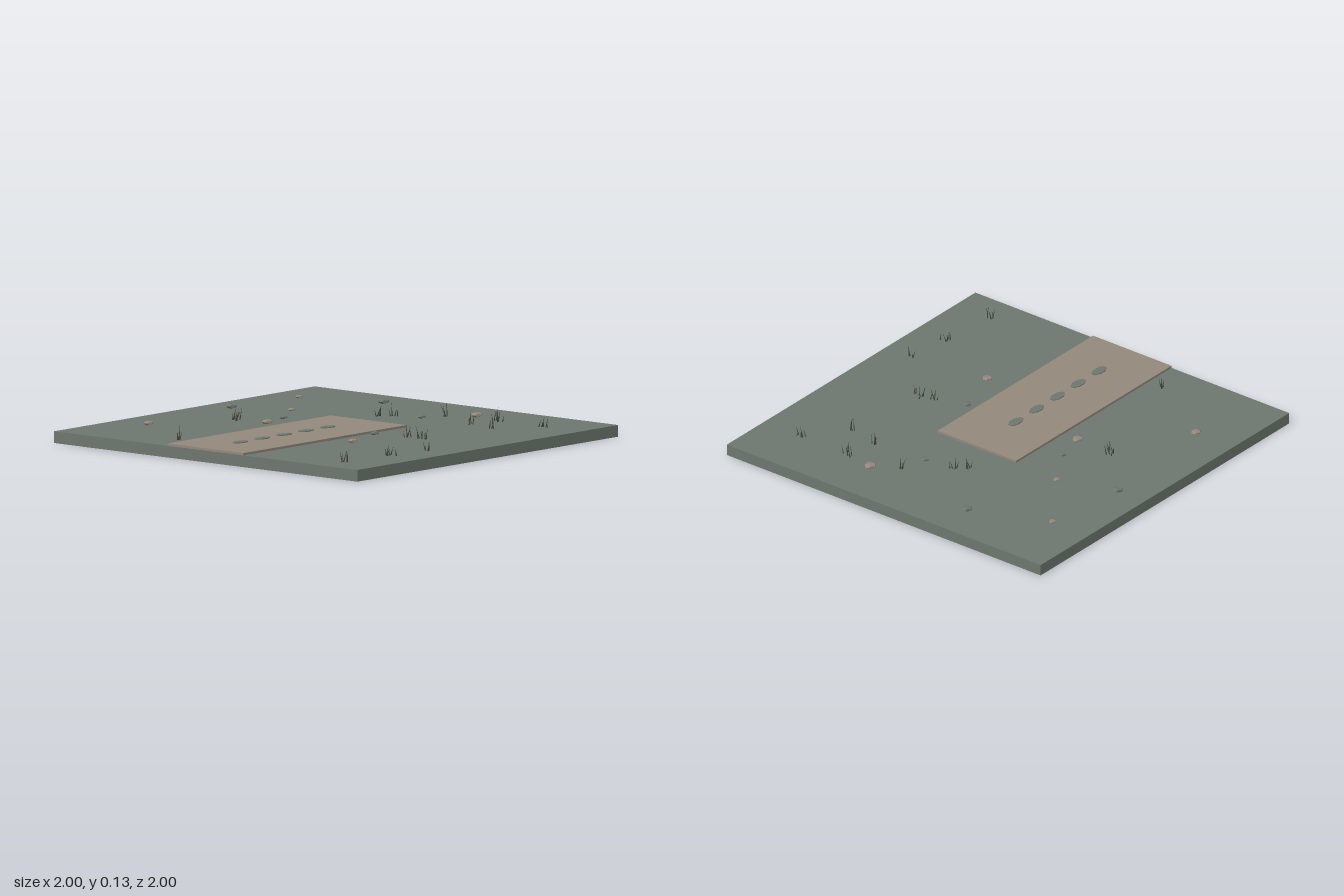
import * as THREE from 'three';

const material = (name, color) => {
  const m = new THREE.MeshStandardMaterial({ color, flatShading: true });
  m.name = name;
  return m;
};

export function createModel() {
  const group = new THREE.Group();
  const ground = material('mossy ground', 0x6d776e);
  const path = material('packed dirt', 0x94887b);
  const pinkStone = material('warm stone', 0x94857a);
  const greyStone = material('grey stone', 0x6b736c);
  const grass = material('dry grass', 0x45473a);

  const add = (name, geometry, mat, x, y, z, parent = group) => {
    const mesh = new THREE.Mesh(geometry, mat);
    mesh.name = name;
    mesh.position.set(x, y, z);
    parent.add(mesh);
    return mesh;
  };

  // Ground tile and the raised path that runs in from the left edge
  const TOP = 0.059;
  add('groundTile', new THREE.BoxGeometry(2, TOP, 2), ground, 0, TOP / 2, 0);
  add('path', new THREE.BoxGeometry(1.25, 0.012, 0.5), path, -0.375, TOP + 0.006, 0);

  // Worn patches along the middle of the path
  const patch = new THREE.CylinderGeometry(0.052, 0.052, 0.006, 8);
  patch.rotateY(Math.PI / 8);
  patch.scale(1, 1, 0.52);
  for (let i = 0; i < 5; i++) add('wornPatch', patch, ground, -0.733 + i * 0.1675, 0.072, 0);

  // Flattened stones: x, z, radius, warm or grey
  const stone = new THREE.DodecahedronGeometry(1);
  const stones = [
    [-0.54, -0.77, 0.026, 1], [0.165, -0.83, 0.029, 0], [0.625, -0.78, 0.019, 1],
    [0.273, -0.527, 0.019, 1], [0.05, -0.388, 0.021, 0], [-0.118, -0.35, 0.028, 1],
    [0.785, -0.36, 0.029, 0], [0.517, 0.12, 0.022, 0], [0.74, 0.292, 0.031, 1],
    [-0.06, 0.307, 0.023, 0], [-0.328, 0.392, 0.026, 1],
  ];
  for (const [x, z, r, warm] of stones) {
    add('stone', stone, warm ? pinkStone : greyStone, x, 0.071, z).scale.set(r, r * 0.45, r);
  }

  // Grass tufts: x, z, number of blades
  let seed = 7;
  const random = () => (seed = (seed * 16807) % 2147483647) / 2147483647;
  const blade = new THREE.ConeGeometry(0.004, 1, 3);
  blade.translate(0, 0.5, 0);
  const tufts = [
    [-0.12, -0.56, 7], [-0.81, -0.33, 4], [0.44, -0.1, 4], [0.49, -0.04, 4],
    [0.655, 0.15, 4], [0.53, 0.42, 5], [0.7, 0.465, 7], [0, 0.475, 4],
    [0.012, 0.565, 6], [0.5, 0.597, 4], [0.692, 0.77, 6], [-0.848, 0.787, 5],
    [-0.525, 0.82, 6], [-0.285, 0.838, 4],
  ];
  for (const [x, z, count] of tufts) {
    const tuft = new THREE.Group();
    tuft.name = 'grassTuft';
    tuft.position.set(x, TOP, z);
    for (let i = 0; i < count; i++) {
      const spread = count * 0.007;
      const b = add('grassBlade', blade, grass,
        (random() - 0.5) * spread, -0.002, (random() - 0.5) * spread * 1.3, tuft);
      b.rotation.set((random() - 0.5) * 0.6, random() * 6, (random() - 0.5) * 0.6);
      b.scale.y = 0.035 + random() * 0.043;
    }
    group.add(tuft);
  }
  return group;
}
